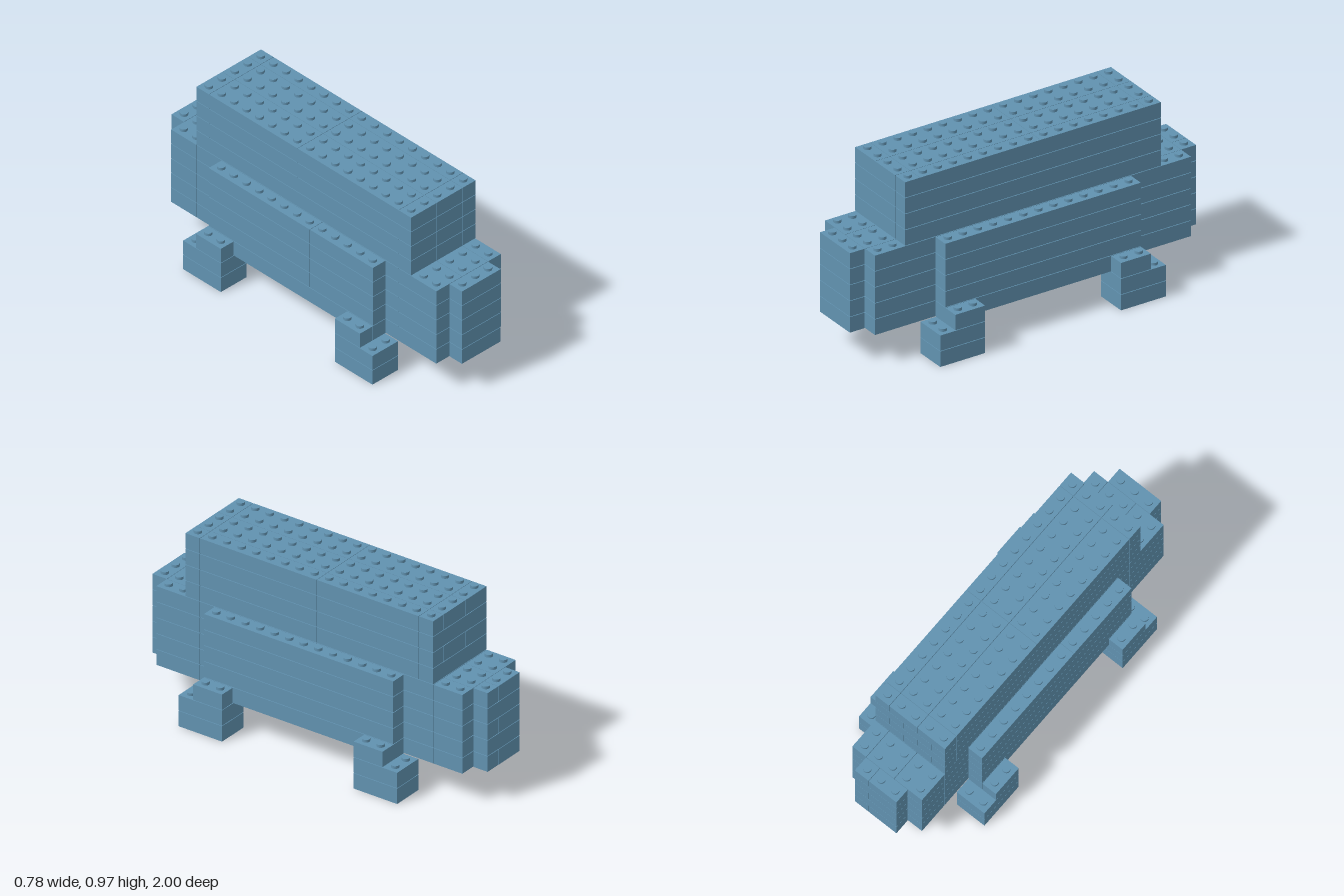
import * as THREE from 'three';
import { mergeGeometries } from 'three/addons/utils/BufferGeometryUtils.js';

const P = 2 / 23;          // one stud of pitch, also one layer of height
const GAP_H = 0.002;       // seam between neighbouring bricks
const GAP_V = 0.003;       // seam between layers
const STUD_R = 0.0205, STUD_H = 0.013;

// One brick, in stud units
function brick(layer, x0, x1, z0, z1) {
  const g = new THREE.BoxGeometry((x1 - x0) * P - GAP_H, P - GAP_V, (z1 - z0) * P - GAP_H);
  g.translate((x0 + x1) / 2 * P, (layer + 0.5) * P, (z0 + z1) / 2 * P);
  return g;
}

// Bricks filling a layer, cut at the given x and z lines
function course(layer, xs, zs) {
  const out = [];
  for (let i = 0; i < xs.length - 1; i++)
    for (let k = 0; k < zs.length - 1; k++)
      out.push(brick(layer, xs[i], xs[i + 1], zs[k], zs[k + 1]));
  return out;
}

// Studs on an exposed rectangle on top of a layer
function studs(layer, x0, x1, z0, z1) {
  const out = [];
  for (let x = x0 + 0.5; x < x1; x++)
    for (let z = z0 + 0.5; z < z1; z++) {
      const g = new THREE.CylinderGeometry(STUD_R, STUD_R, STUD_H + GAP_V, 16);
      g.translate(x * P, (layer + 1) * P + (STUD_H - GAP_V) / 2, z * P);
      out.push(g);
    }
  return out;
}

export function createModel() {
  const model = new THREE.Group();
  const blue = new THREE.MeshStandardMaterial({ color: 0x6192b0 });
  blue.name = 'dusty blue';
  const add = (name, parts) => {
    const mesh = new THREE.Mesh(mergeGeometries(parts), blue);
    mesh.name = name;
    model.add(mesh);
  };

  const columns = [-2.5, -0.5, 1.5, 2.5];

  // Upper block: four layers, five studs wide
  const upper = [];
  for (let l = 7; l <= 10; l++) {
    upper.push(...course(l, columns, [-8.5 + 1, -0.5, 7.5, 8.5]));
    // rear row has staggered joints
    const rear = l % 2 ? [-2.5, -1.5, 0.5, 2.5] : columns;
    upper.push(...course(l, rear, [-8.5, -7.5]));
  }
  add('upperBlock', upper);
  add('upperStuds', studs(10, -2.5, 2.5, -8.5, 8.5));

  // Main body, with a narrower nose and tail
  const body = [], nose = [], tail = [];
  for (let l = 2; l <= 6; l++) {
    body.push(...course(l, columns, [-10.5, -8.5, -0.5, 7.5, 10.5]));
    nose.push(brick(l, -1.5, 1.5, 10.5, 11.5));
    tail.push(...course(l, l % 2 ? [-1.5, 1.5] : [-1.5, 0.5, 1.5], [-11.5, -10.5]));
  }
  add('body', body);
  add('nose', nose);
  add('tail', tail);
  for (const s of [1, -1]) {
    const end = s > 0 ? 'front' : 'rear';
    const span = (a, b) => (s > 0 ? [a, b] : [-b, -a]);
    add(end + 'DeckStuds', [
      ...studs(6, -2.5, 2.5, ...span(8.5, 10.5)),
      ...studs(6, -1.5, 1.5, ...span(10.5, 11.5)),
    ]);
  }

  for (const sx of [1, -1]) {
    const side = sx > 0 ? 'left' : 'right';
    const spanX = (a, b) => (sx > 0 ? [a, b] : [-b, -a]);

    // Side panels
    const panel = [];
    for (let l = 2; l <= 6; l++)
      panel.push(...course(l, spanX(2.5, 3.5), sx > 0 || l === 2 ? [-6.5, 6.5] : [-6.5, 1.5, 6.5]));
    add(side + 'SidePanel', panel);
    add(side + 'SideStuds', studs(6, ...spanX(2.5, 3.5), -6.5, 6.5));

    // Feet with their stepped shoulders
    for (const sz of [1, -1]) {
      const spanZ = (a, b) => (sz > 0 ? [a, b] : [-b, -a]);
      const name = side + (sz > 0 ? 'Front' : 'Rear');
      add(name + 'Foot', [
        brick(0, ...spanX(2.5, 4.5), ...spanZ(4.5, 7.5)),
        brick(1, ...spanX(2.5, 4.5), ...spanZ(4.5, 7.5)),
        ...studs(1, ...spanX(2.5, 4.5), ...spanZ(6.5, 7.5)),
      ]);
      add(name + 'Shoulder', [
        brick(2, ...spanX(3.5, 4.5), ...spanZ(4.5, 6.5)),
        ...studs(2, ...spanX(3.5, 4.5), ...spanZ(4.5, 6.5)),
      ]);
    }
  }
  return model;
}
